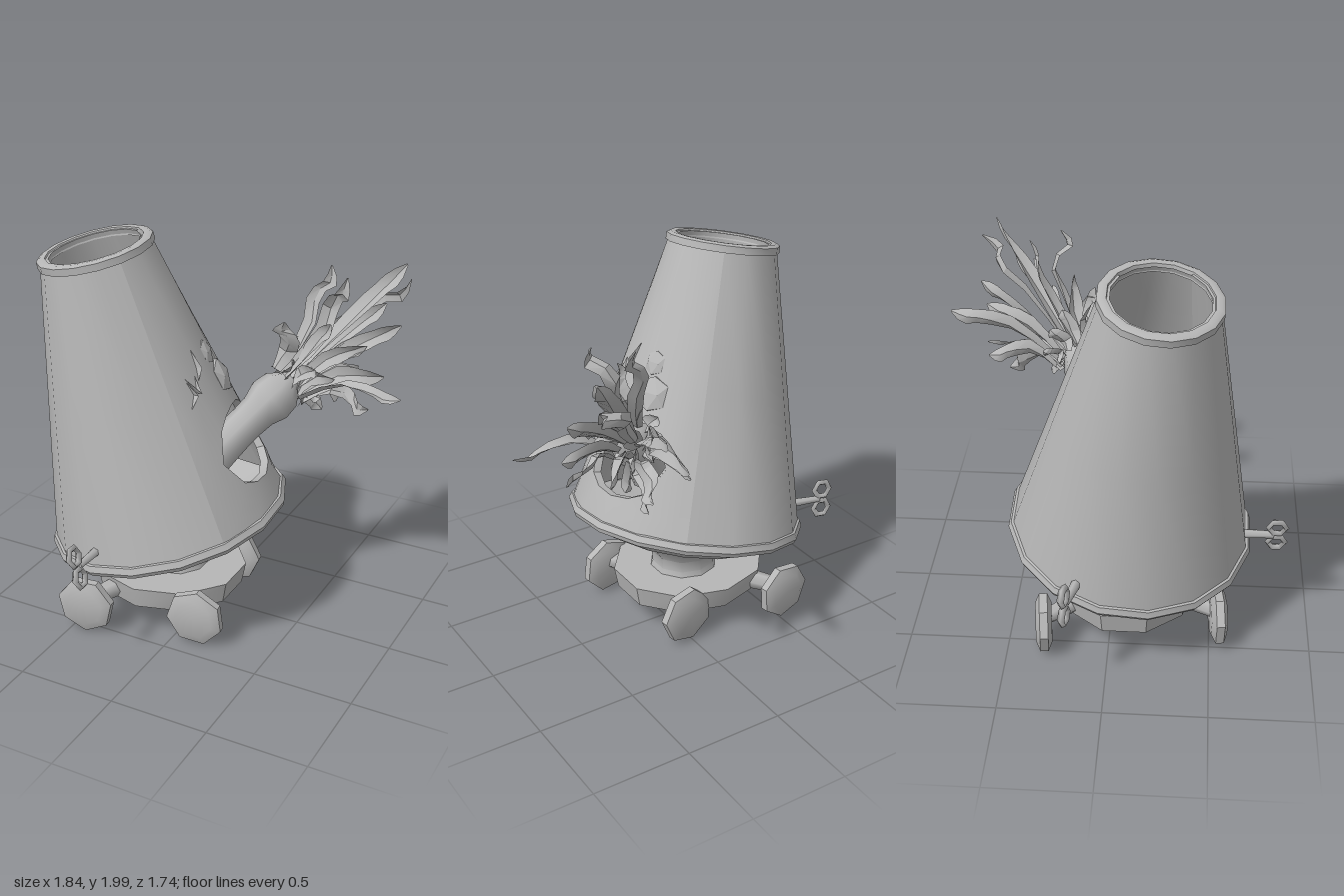
import * as THREE from 'three';
import { toCreasedNormals } from 'three/addons/utils/BufferGeometryUtils.js';

const V = (x, y, z) => new THREE.Vector3(x, y, z);
const clay = new THREE.MeshStandardMaterial({ color: 0xb6b6b6, side: THREE.DoubleSide });
clay.name = 'plain grey';

// Skin a list of equally long point loops
function skin(loops, crease = 0.6) {
  const pos = [];
  for (let i = 0; i < loops.length - 1; i++) {
    for (let j = 0; j < loops[i].length - 1; j++) {
      const a = loops[i][j], b = loops[i][j + 1], c = loops[i + 1][j + 1], d = loops[i + 1][j];
      for (const p of [a, d, c, a, c, b]) pos.push(p.x, p.y, p.z);
    }
  }
  const g = new THREE.BufferGeometry();
  g.setAttribute('position', new THREE.Float32BufferAttribute(pos, 3));
  return toCreasedNormals(g, crease);
}

function add(parent, name, geometry, x = 0, y = 0, z = 0) {
  const mesh = new THREE.Mesh(geometry, clay);
  mesh.name = name;
  mesh.position.set(x, y, z);
  parent.add(mesh);
  return mesh;
}

const lathe = (pts, n) =>
  toCreasedNormals(new THREE.LatheGeometry(pts.map(p => new THREE.Vector2(...p)), n), 0.7);

// Leaning hollow cone, built upright around its own axis
const H = 1.43, R0 = 0.595, R1 = 0.265, WALL = 0.04, STEP = Math.PI / 8, FACE = -0.2;
const onCone = (a, v, inset = 0) => {
  const r = R0 + (R1 - R0) * v - inset;
  return V(r * Math.cos(a), v * H, r * Math.sin(a));
};

function buildBody() {
  const body = new THREE.Group();
  body.name = 'body';
  body.position.set(-0.185, 0.53, 0.09);
  body.quaternion.setFromUnitVectors(V(0, 1, 0), V(-0.305, 1.39, 0.14).normalize());

  // Closed part of the wall, outside then inside
  const closed = [[0, 0], [0.5, 0], [1, 0], [1, WALL], [0.5, WALL], [0, WALL]].map(([v, inset]) =>
    Array.from({ length: 13 }, (_, j) => onCone(FACE + (j + 2) * STEP, v, inset)));
  add(body, 'wall', skin(closed));

  // Wall panel running from its rectangular border into the mouth opening
  const border = [], mouth = [];
  const corner = (u, v, deg) => {
    const t = deg * Math.PI / 180;
    border.push([FACE + u * STEP, v]);
    mouth.push([FACE + 0.5 * Math.cos(t), 0.25 + 0.135 * Math.sin(t)]);
  };
  for (let i = 0; i < 4; i++) corner(i - 2, 0, -135 + i * 22.5);
  for (let i = 0; i < 2; i++) corner(2, i / 2, -45 + i * 45);
  for (let i = 0; i < 4; i++) corner(2 - i, 1, 45 + i * 22.5);
  for (let i = 0; i < 3; i++) corner(-2, 1 - i / 2, 135 + i * 45);
  const ring = (k, inset) => border.map((b, j) =>
    onCone(b[0] + (mouth[j][0] - b[0]) * k, b[1] + (mouth[j][1] - b[1]) * k, inset));
  const ks = [0, 0.25, 0.5, 0.75, 1];
  add(body, 'mouthPanel', skin([
    ...ks.map(k => ring(k, 0)), ...ks.slice().reverse().map(k => ring(k, WALL))]));

  // Rims and rounded underside, turned so their corners meet the wall's
  const rim = (name, pts) => { add(body, name, lathe(pts, 16)).rotation.y = -FACE; };
  rim('topRim', [[0.23, H - 0.03], [0.284, H - 0.035], [0.283, H], [0.265, H + 0.01],
    [0.24, H + 0.008], [0.228, H - 0.03]]);
  rim('bottomRim', [[0.57, -0.03], [0.602, -0.022], [0.612, 0], [0.6, 0.03], [0.57, 0.035]]);
  rim('underside', [[0, -0.17], [0.25, -0.15], [0.45, -0.09], [0.6, -0.02]]);

  // Crumpled face details above the mouth
  const bumps = [[-0.36, 0.48, 0.035, 0.1, 0.09], [-0.28, 0.58, 0.02, 0.07, 0.06]];
  for (const [a, v, dx, dy, dz] of bumps) {
    const p = onCone(a, v, 0.005);
    const m = add(body, 'faceBump', new THREE.IcosahedronGeometry(1, 0), p.x, p.y, p.z);
    m.scale.set(dx, dy, dz);
    m.rotation.set(0, -a, 0.22);
  }
  const flaps = [[[0.06, 0.63], [0.15, 0.53], [0.1, 0.57]], [[0.33, 0.55], [0.4, 0.46], [0.3, 0.5]],
    [[0.18, 0.55], [0.33, 0.56], [0.25, 0.5]]];
  for (const [a, b, c] of flaps) {
    const p = onCone(...a), q = onCone(...b), tip = onCone(...c, -0.035);
    add(body, 'faceFlap', skin([[p, p], [tip, onCone(...c)], [q, q]], 0.1));
  }
  return body;
}

// Bent trunk with a swollen end
function trunkGeometry() {
  const curve = new THREE.CatmullRomCurve3([V(0.02, 0.84, 0.1), V(0.12, 0.97, 0.02),
    V(0.23, 1.11, -0.11), V(0.33, 1.23, -0.24)]);
  const radii = [0.12, 0.1, 0.095, 0.09, 0.09, 0.095, 0.12, 0.11, 0.05];
  const n = radii.length - 1, frames = curve.computeFrenetFrames(n);
  return skin(radii.map((r, i) => Array.from({ length: 9 }, (_, j) => {
    const a = -j / 8 * Math.PI * 2;
    return curve.getPointAt(i / n).addScaledVector(frames.normals[i], r * Math.cos(a))
      .addScaledVector(frames.binormals[i], r * Math.sin(a));
  })), 1);
}

// Folded ribbon leaf from the crown to a tip; kink makes its end zigzag
const CROWN = V(0.3, 1.2, -0.21), OUT = V(0.55, 0.55, -0.62).normalize();
function leafGeometry(tip, width, bend, kink, roll) {
  const dir = tip.clone().sub(CROWN), unit = dir.clone().normalize();
  const root = CROWN.clone().addScaledVector(unit, 0.03)
    .addScaledVector(unit.clone().addScaledVector(OUT, -unit.dot(OUT)), 0.11);
  const across = unit.clone().cross(V(0.1, 1, 0.1)).normalize(), lift = across.clone().cross(unit);
  const along = (k, up, sideways) => CROWN.clone().addScaledVector(dir, k)
    .addScaledVector(lift, up).addScaledVector(across, sideways);
  const curve = new THREE.CatmullRomCurve3([root, along(0.5, bend, 0),
    along(0.76, bend * 0.6, -kink), along(0.88, 0, kink), tip]);
  const widths = [0.6, 0.85, 1, 0.95, 0.8, 0.85, 0.6, 0.1], n = widths.length - 1;
  return skin(widths.map((w, i) => {
    const p = curve.getPoint(i / n), t = curve.getTangent(i / n), h = w * width / 2;
    const side = across.clone().applyAxisAngle(unit, roll + i * 0.2);
    const fold = side.clone().cross(t);
    return [p.clone().addScaledVector(side, -h), p.clone().addScaledVector(fold, -h * 0.5),
      p.clone().addScaledVector(side, h)];
  }), 0.5);
}

// Winding key: shaft with two rings, pointing along +z
function buildKey(x, y, z, yaw, roll) {
  const key = new THREE.Group();
  key.name = 'windingKey';
  const shaft = add(key, 'keyShaft', new THREE.CylinderGeometry(0.018, 0.024, 0.16, 6), 0, 0, 0.03);
  shaft.rotation.x = Math.PI / 2;
  for (const s of [-1, 1]) {
    const loop = add(key, 'keyLoop', new THREE.TorusGeometry(0.042, 0.015, 4, 6), 0, s * 0.055, 0.125);
    loop.rotation.y = Math.PI / 2;
    loop.scale.set(1, 1.1, 1.2);
  }
  key.position.set(x, y, z);
  key.rotation.set(0, yaw, roll);
  return key;
}

export function createModel() {
  const model = new THREE.Group();
  model.name = 'rollingCone';
  model.add(buildBody());

  // Plume growing out of the mouth
  const plume = new THREE.Group();
  plume.name = 'plume';
  model.add(plume);
  add(plume, 'trunk', trunkGeometry());

  // Long leaves: tip, bend, kink
  const leaves = [
    [0.91, 1.26, -0.18, 0.06, 0], [0.79, 1.51, -0.48, 0.02, 0], [0.74, 1.76, -0.66, 0.02, 0],
    [0.74, 1.66, -0.74, 0.02, 0.05], [0.68, 1.58, -0.56, 0.02, 0], [0.43, 1.37, -0.87, 0.05, 0],
    [0.71, 1.12, -0.3, 0.06, 0.03], [0.28, 1.2, -0.66, 0.05, 0], [0.45, 1.04, -0.58, 0.06, 0.02],
    [0.43, 1.77, -0.45, 0, 0.03], [0.57, 1.77, -0.31, -0.03, 0.05], [0.33, 1.57, -0.12, 0.03, 0.02],
    [0.66, 1.42, -0.37, 0.03, 0], [0.52, 1.55, -0.24, 0.02, 0], [0.42, 1.42, -0.68, 0.03, 0],
    [0.62, 1.2, -0.54, 0.05, 0], [0.44, 1.04, -0.36, 0.03, 0], [0.52, 1.5, -0.72, 0.02, 0],
    [0.5, 1.16, -0.7, 0.04, 0.02], [0.76, 1.28, -0.36, 0.03, 0]];
  leaves.forEach(([x, y, z, bend, kink], i) => add(plume, 'leaf',
    leafGeometry(V(x, y, z), 0.08 + 0.01 * (i % 3), bend, kink, (i * 0.9) % 1.6 - 0.6)));

  // Short frill of leaves around the crown
  const across = V(0, 1, 0).cross(OUT).normalize(), upward = OUT.clone().cross(across);
  for (let i = 0; i < 9; i++) {
    const a = i * Math.PI * 2 / 9;
    const tip = CROWN.clone().addScaledVector(OUT, 0.1 + 0.05 * (i % 3))
      .addScaledVector(across, 0.16 * Math.cos(a)).addScaledVector(upward, 0.16 * Math.sin(a));
    add(plume, 'frillLeaf', leafGeometry(tip, 0.08, 0.02, 0, i % 3 * 0.5));
  }

  // Winding keys
  model.add(buildKey(-0.75, 0.53, -0.15, -1.82, 0));
  model.add(buildKey(-0.28, 0.55, 0.69, 0, 0.28));

  // Rolling base
  const base = new THREE.Group();
  base.name = 'base';
  model.add(base);
  const disc = new THREE.CylinderGeometry(0.38, 0.36, 0.11, 10).scale(1.08, 1, 0.97);
  add(base, 'platform', toCreasedNormals(disc, 0.6), -0.2, 0.193, 0.08);
  add(base, 'stem', lathe([[0.18, 0], [0.165, 0.04], [0.17, 0.1], [0.22, 0.17]], 10), -0.16, 0.235, 0.07);
  const wheel = lathe([[0, -0.04], [0.1, -0.04], [0.147, -0.02], [0.147, 0.02], [0.1, 0.04], [0, 0.04]], 7)
    .rotateX(Math.PI / 2);
  const spots = [[-0.42, 0.54], [0.12, 0.39], [0.02, -0.24], [-0.53, -0.32]];
  spots.forEach(([x, z], i) => {
    add(base, 'wheel', wheel, x, 0.15, z).rotation.set(0, 0.12, i * 0.35);
    const from = V(x, 0.17, z), to = V(-0.2 + (x + 0.2) * 0.5, 0.19, 0.08 + (z - 0.08) * 0.5);
    const axle = add(base, 'axle', new THREE.CylinderGeometry(0.04, 0.055, from.distanceTo(to), 6));
    axle.position.copy(from).add(to).multiplyScalar(0.5);
    axle.quaternion.setFromUnitVectors(V(0, 1, 0), from.clone().sub(to).normalize());
  });
  return model;
}
